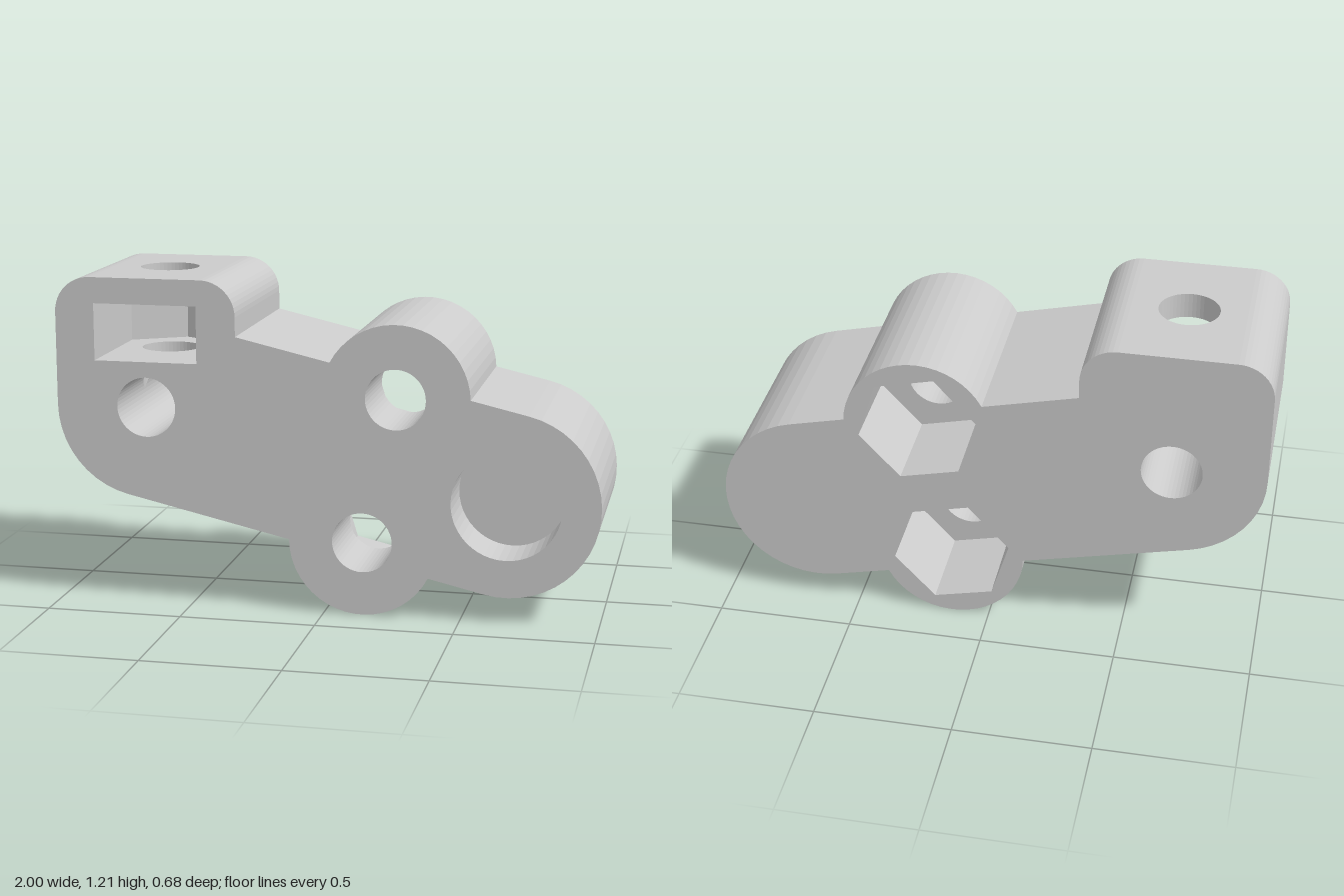
import * as THREE from 'three';

const D = 0.338;                 // half thickness
const R = 0.338;                 // radius of the rounded body ends
const HOLE = 0.11, NUT = 0.222;  // bolt hole and hex pocket radii
const TILT = -12.97;             // slope of the body in degrees
const LEFT = [-0.662, 0.738], RIGHT = [0.662, 0.435];
const UPPER = [0.26, 0.803], LOWER = [0.14, 0.272], BOSS = 0.27;
const TOP = 1.21, CORNER = 0.13;

const material = new THREE.MeshStandardMaterial({ color: 0xcccccc, flatShading: true });

// points along an arc, counter-clockwise, angles in degrees
function arc([cx, cy], r, from, to, step = 7.5) {
  const n = Math.max(1, Math.round((to - from) / step));
  return Array.from({ length: n + 1 }, (_, i) => {
    const a = THREE.MathUtils.degToRad(from + (to - from) * i / n);
    return new THREE.Vector2(cx + r * Math.cos(a), cy + r * Math.sin(a));
  });
}
const circle = (c, r) => arc(c, r, 0, 360).slice(0, -1);
const hexagon = c => arc(c, NUT, TILT, TILT + 360, 60).slice(0, -1);
const points = list => list.map(([x, y]) => new THREE.Vector2(x, y));

// ribbon along a counter-clockwise path; faces outward, or inward for a hole.
// lo and hi are numbers or functions of the path point.
function wall(pts, lo, hi, { inward = false, closed = true } = {}) {
  const at = (f, p) => (typeof f === 'function' ? f(p) : f);
  const pos = [], index = [];
  for (const p of pts) pos.push(p.x, p.y, at(lo, p), p.x, p.y, at(hi, p));
  const n = pts.length;
  for (let i = 0; i < (closed ? n : n - 1); i++) {
    const a = 2 * i, b = 2 * ((i + 1) % n);
    if (inward) index.push(a, b + 1, b, a, a + 1, b + 1);
    else index.push(a, b, b + 1, a, b + 1, a + 1);
  }
  const g = new THREE.BufferGeometry();
  g.setAttribute('position', new THREE.Float32BufferAttribute(pos, 3));
  g.setIndex(index);
  g.computeVertexNormals();
  return g;
}

// flat face with holes at height z, facing +z or, when flipped, -z
function face(outer, holes, z, flip = false) {
  const shape = new THREE.Shape(outer);
  shape.holes = holes.map(h => new THREE.Path(h));
  const g = new THREE.ShapeGeometry(shape).translate(0, 0, z);
  if (flip) {
    g.setIndex(Array.from(g.index.array).reverse());
    g.computeVertexNormals();
  }
  return g;
}

export function createModel() {
  const model = new THREE.Group();
  model.name = 'clampArm';
  const add = (name, geometry) => {
    const mesh = new THREE.Mesh(geometry, material);
    mesh.name = name;
    model.add(mesh);
  };
  // the same, for shapes laid out in plan (x, -z) and raised along y
  const addPlan = (name, geometry) => add(name, geometry.rotateX(-Math.PI / 2));

  // silhouette, from the left end of the tower top round to its right end
  const x0 = -1 + CORNER, x1 = -0.325 - CORNER, yc = TOP - CORNER;
  const outline = [
    ...arc([x0, yc], CORNER, 90, 180),
    ...arc(LEFT, R, 180, 270 + TILT),
    ...arc(LOWER, BOSS, -179.7, -26.3),
    ...arc(RIGHT, R, -90 + TILT, 90 + TILT),
    ...arc(UPPER, BOSS, 1.97, 152.1),
    new THREE.Vector2(-0.325, 1.009),
    ...arc([x1, yc], CORNER, 0, 90),
  ];
  add('bodySides', wall(outline, -D, D, { closed: false }));

  // front and back faces with their openings
  const [px, py] = LEFT;
  const w = NUT * Math.sqrt(3) / 2, slotLow = 0.905, slotHigh = 1.115;
  const slotMouth = points([[px - w, slotLow], [px + w, slotLow], [px + w, slotHigh], [px - w, slotHigh]]);
  const bore = circle(RIGHT, 0.2);
  const bosses = [['upper', UPPER], ['lower', LOWER]];
  const pivot = circle(LEFT, HOLE);
  add('frontFace', face(outline, [slotMouth, bore, pivot, ...bosses.map(b => circle(b[1], HOLE))], D));
  add('backFace', face(outline, [pivot, ...bosses.map(b => hexagon(b[1]))], -D, true));

  // blind round bore in the front
  const boreFloor = D - 0.21;
  add('boreWall', wall(bore, boreFloor, D, { inward: true }));
  add('boreFloor', face(bore, [], boreFloor));

  // boss bolt holes with hex pockets at the back
  const hexFloor = -D + 0.35;
  for (const [side, c] of bosses) {
    add(side + 'BoltHole', wall(circle(c, HOLE), hexFloor, D, { inward: true }));
    add(side + 'HexWall', wall(hexagon(c), -D, hexFloor, { inward: true }));
    add(side + 'HexFloor', face(hexagon(c), [circle(c, HOLE)], hexFloor, true));
  }

  // through hole, opened above where the vertical screw hole meets it
  const gap = p => Math.max(0, p.y - py);
  add('pivotHoleFront', wall(pivot, gap, D, { inward: true }));
  add('pivotHoleBack', wall(pivot, -D, p => -gap(p), { inward: true }));

  // tower top and the vertical screw hole
  const screw = circle([px, 0], HOLE);
  addPlan('towerTop', face(points([[x0, -D], [x1, -D], [x1, D], [x0, D]]), [screw], TOP));
  addPlan('screwHoleTop', wall(screw, slotHigh, TOP, { inward: true }));
  addPlan('screwHoleBottom', wall(screw, p => py + Math.abs(p.y), slotLow, { inward: true }));

  // nut slot, open at the front and pointed at the back
  const slot = points([[px + w, -D], [px + w, NUT / 2], [px, NUT], [px - w, NUT / 2], [px - w, -D]]);
  addPlan('slotWall', wall(slot, slotLow, slotHigh, { inward: true, closed: false }));
  addPlan('slotFloor', face(slot, [screw], slotLow));
  addPlan('slotRoof', face(slot, [screw], slotHigh, true));

  return model;
}
